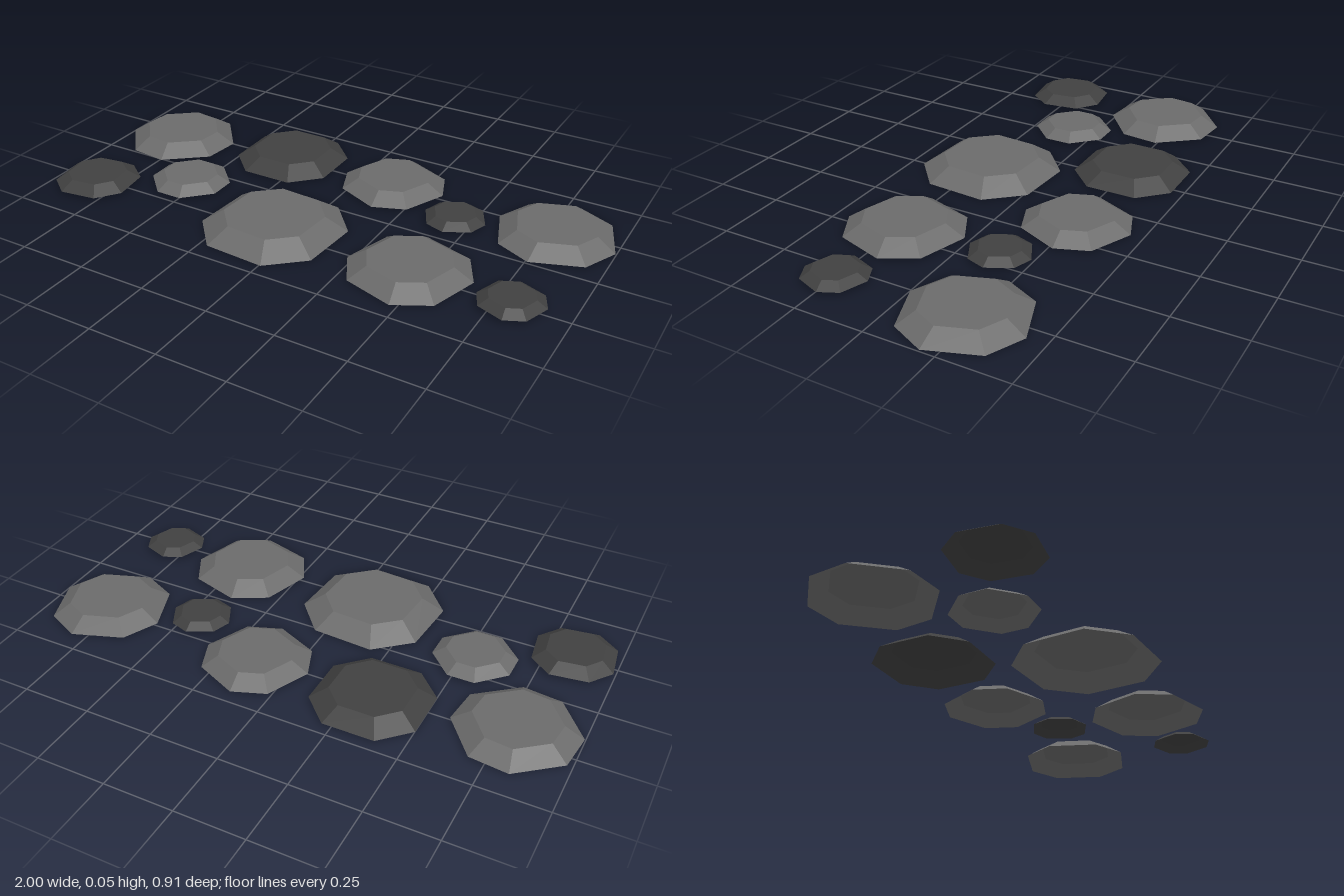
import * as THREE from 'three';

const CORNER = 0.486; // half length of a long edge, relative to half width 1
const HEIGHT = 0.222;
const TOP = 0.69;

// Chamfered square outline, walked from +x towards +z
function outline(half, corner, y) {
  const points = [];
  for (let k = 0; k < 4; k++) {
    for (const side of [-corner, corner]) {
      const p = new THREE.Vector3(half, y, side);
      points.push(p.applyAxisAngle(new THREE.Vector3(0, 1, 0), -k * Math.PI / 2));
    }
  }
  return points;
}

// Unit stone: bevelled sides and a flat top, open underneath
function stoneGeometry() {
  const low = outline(1, CORNER, -HEIGHT / 2);
  const high = outline(TOP, TOP * CORNER, HEIGHT / 2);
  const centre = new THREE.Vector3(0, HEIGHT / 2, 0);
  const corners = [];
  for (let i = 0; i < 8; i++) {
    const j = (i + 1) % 8;
    corners.push(low[i], high[i], low[j], low[j], high[i], high[j]);
    corners.push(centre, high[j], high[i]);
  }
  const geometry = new THREE.BufferGeometry().setFromPoints(corners);
  geometry.computeVertexNormals();
  return geometry;
}

export function createModel() {
  const group = new THREE.Group();
  group.name = 'steppingStones';
  const geometry = stoneGeometry();
  const material = (color) => new THREE.MeshStandardMaterial({
    color, flatShading: true, side: THREE.DoubleSide,
  });
  const light = material(0x6b6b6b);
  const dark = material(0x404040);

  // x, z, half width, turn in degrees, material
  const stones = [
    // back row
    [-0.787, -0.198, 0.194, -51.5, light],
    [-0.31, -0.267, 0.193, 0, dark],
    [0.136, -0.262, 0.176, -24, light],
    [0.44, -0.136, 0.102, 27, dark],
    [0.782, -0.219, 0.195, 20, light],
    // front row
    [-0.844, 0.259, 0.141, 8, dark],
    [-0.537, 0.091, 0.135, 45, light],
    [-0.091, 0.211, 0.233, -4, light],
    [0.443, 0.232, 0.194, -17, light],
    [0.803, 0.246, 0.103, -20, dark],
  ];
  stones.forEach(([x, z, size, turn, mat], i) => {
    const stone = new THREE.Mesh(geometry, mat);
    stone.name = `stone${i + 1}`;
    stone.position.set(x, 0.026, z);
    stone.rotation.y = THREE.MathUtils.degToRad(turn);
    stone.scale.setScalar(size);
    group.add(stone);
  });
  return group;
}
